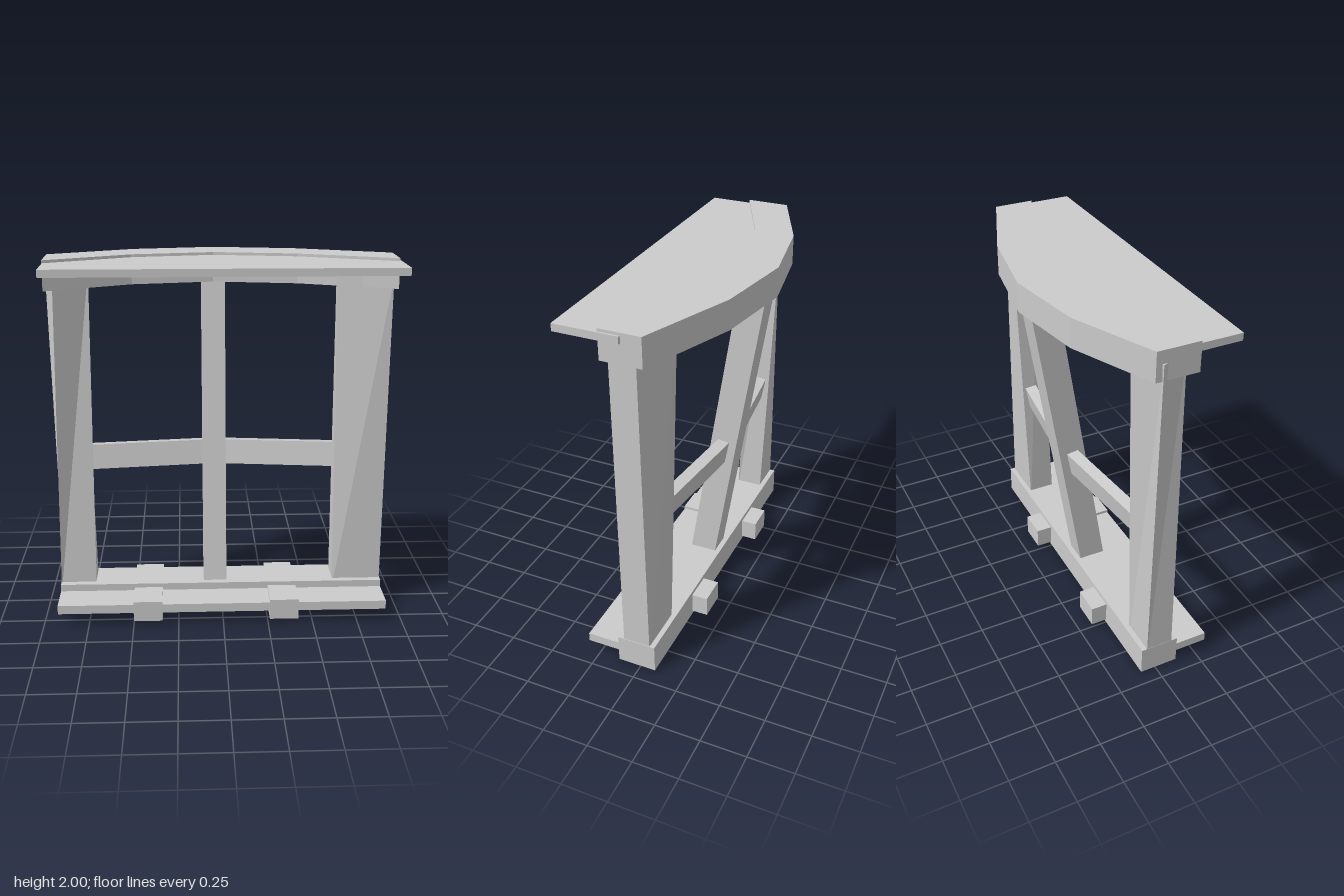
import * as THREE from 'three';

const material = new THREE.MeshStandardMaterial({ color: 0xcccccc, flatShading: true });

function part(name, geometry) {
  const mesh = new THREE.Mesh(geometry, material);
  mesh.name = name;
  return mesh;
}

// Box given by its extents on each axis
function beam(name, [x0, x1], [y0, y1], [z0, z1]) {
  const g = new THREE.BoxGeometry(x1 - x0, y1 - y0, z1 - z0);
  g.translate((x0 + x1) / 2, (y0 + y1) / 2, (z0 + z1) / 2);
  return part(name, g);
}

// Solid between two four-cornered sections, counter-clockwise seen from the end of b
function loft(name, a, b) {
  const quads = [[a[3], a[2], a[1], a[0]], b];
  for (let i = 0; i < 4; i++) {
    const j = (i + 1) % 4;
    quads.push([a[i], a[j], b[j], b[i]]);
  }
  const pos = quads.flatMap(([p, q, r, s]) => [p, q, r, p, r, s].flat());
  const g = new THREE.BufferGeometry();
  g.setAttribute('position', new THREE.Float32BufferAttribute(pos, 3));
  g.computeVertexNormals();
  return part(name, g);
}

// Post between two plan sections of [x, z] corners, from front -x corner round to back -x
function post(name, y0, bottom, y1, top) {
  const ring = (pts, y) => pts.map(([x, z]) => [x, y, z]);
  return loft(name, ring(bottom, y0), ring(top, y1));
}

const rect = (x0, x1, z0, z1) => [[x0, z1], [x1, z1], [x1, z0], [x0, z0]];

// Horizontal slab from a plan outline of [x, z] points
function slab(name, outline, y0, y1) {
  const shape = new THREE.Shape(outline.map(([x, z]) => new THREE.Vector2(x, -z)));
  const g = new THREE.ExtrudeGeometry(shape, { depth: y1 - y0, bevelEnabled: false });
  g.rotateX(-Math.PI / 2);
  g.translate(0, y0, 0);
  return part(name, g);
}

export function createModel() {
  const model = new THREE.Group();
  model.name = 'windowFrame';

  // Sill with its ledge and the joists running through it
  model.add(beam('sill', [-0.92, 0.91], [0, 0.16], [-0.085, 0.13]));
  model.add(beam('sillLedge', [-0.92, 0.91], [0.07, 0.12], [0.03, 0.31]));
  for (const x of [-0.42, 0.34]) {
    model.add(beam('joist', [x - 0.08, x + 0.08], [0.02, 0.137], [-0.175, 0.312]));
  }

  // Bowed head beam and the board set into its front
  const back = [[0.925, -0.09], [0.41, -0.29], [-0.04, -0.365], [-0.48, -0.29], [-0.93, -0.09]];
  const front = [[-0.93, 0.14], [-0.48, -0.07], [-0.04, -0.145], [0.41, -0.07], [0.925, 0.13]];
  model.add(slab('headBeam', [...front, ...back], 1.84, 2));
  const tuck = [[0.935, 0.02], [0.41, -0.16], [-0.04, -0.23], [-0.48, -0.16], [-0.925, 0.02]];
  model.add(slab('headBoard', [[-0.925, 0.36], [0.935, 0.36], ...tuck], 1.945, 1.985));

  // Side posts, twisted to follow the bow at the top
  model.add(post('rightPost', 0.1, rect(-0.92, -0.72, -0.055, 0.095),
    1.93, [[-0.885, 0.093], [-0.705, 0.01], [-0.76, -0.125], [-0.94, -0.055]]));
  model.add(post('leftPost', 0.1, rect(0.635, 0.907, -0.055, 0.095),
    1.9, [[0.615, 0.03], [0.905, 0.095], [0.905, -0.047], [0.632, -0.12]]));

  // Centre post leaning back
  model.add(post('centrePost', 0.1, rect(-0.105, 0.025, -0.046, 0.104),
    1.9, rect(-0.105, 0.025, -0.335, -0.185)));

  // Tilted crossbars meeting in the centre post
  const bar = (x, dz) => [[0.82, -0.055], [0.81, -0.12], [0.945, -0.145], [0.955, -0.08]]
    .map(([y, z]) => [x, y, z + dz]);
  model.add(loft('rightCrossbar', bar(-0.75, 0.08), bar(-0.04, 0)));
  model.add(loft('leftCrossbar', bar(-0.04, 0), bar(0.67, 0.08)));

  return model;
}
